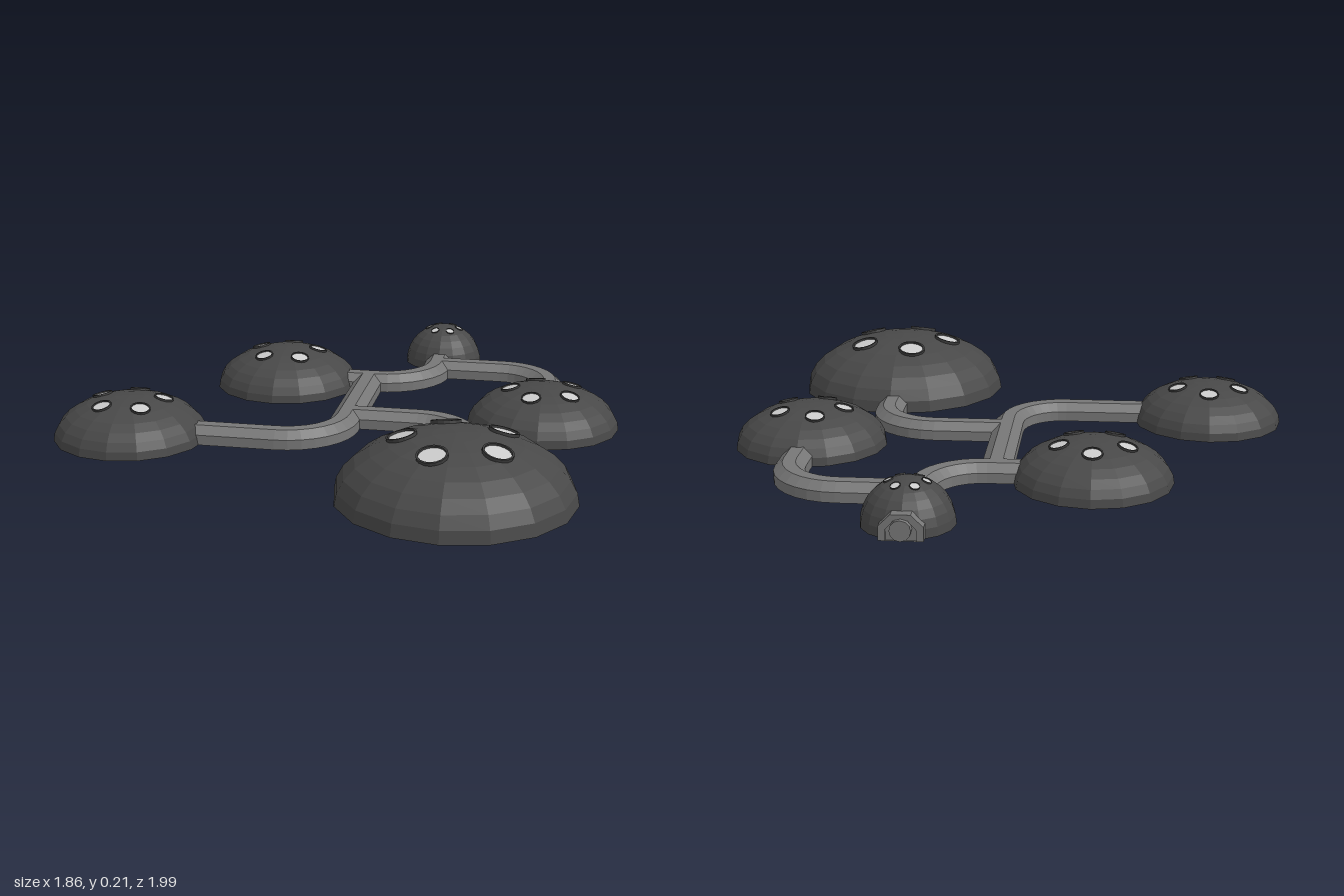
import * as THREE from 'three';

const mat = (color, side = THREE.FrontSide) =>
  new THREE.MeshStandardMaterial({ color, side, flatShading: true });

const domeMat = mat(0x484848);
const rimMat = mat(0x3c3c3c, THREE.DoubleSide);
const pipeMat = mat(0x777777, THREE.DoubleSide);
const glassMat = mat(0xcccccc);

function add(parent, name, geometry, material) {
  const mesh = new THREE.Mesh(geometry, material);
  mesh.name = name;
  parent.add(mesh);
  return mesh;
}

// Flattened dome with a floor and a ring of round skylights
function makeDome({ name, x, z, r, h, count, start, ring, pane }) {
  const dome = new THREE.Group();
  dome.name = name;
  dome.position.set(x, 0, z);

  const shell = new THREE.SphereGeometry(1, 16, 8, 0, Math.PI * 2, 0, Math.PI / 2);
  shell.scale(r, h, r);
  add(dome, 'domeShell', shell, domeMat);
  add(dome, 'domeFloor', new THREE.CircleGeometry(r, 16).rotateX(Math.PI / 2), domeMat);

  const y = h * Math.sqrt(1 - (ring / r) ** 2);
  const up = new THREE.Vector3(0, 1, 0);
  for (let i = 0; i < count; i++) {
    const a = start + (i / count) * Math.PI * 2;
    const c = Math.cos(a), s = Math.sin(a);
    const skylight = new THREE.Group();
    skylight.name = 'skylight';
    skylight.position.set(ring * c, y, ring * s);
    const normal = new THREE.Vector3(ring * c / r ** 2, y / h ** 2, ring * s / r ** 2).normalize();
    skylight.quaternion.setFromUnitVectors(up, normal);

    const o = pane * 1.15, t = pane * 0.16;
    const rim = [[o, -t * 2], [o, t], [pane, t], [pane, -t * 2]].map(p => new THREE.Vector2(...p));
    add(skylight, 'skylightRim', new THREE.LatheGeometry(rim, 16), rimMat);
    add(skylight, 'skylightPane', new THREE.CircleGeometry(pane, 16).rotateX(-Math.PI / 2), glassMat);
    dome.add(skylight);
  }
  return dome;
}

// Corridor cross-section: half an octagon, open at the ground
const section = [[-0.05, 0], [-0.05, 0.034], [-0.021, 0.06], [0.021, 0.06], [0.05, 0.034], [0.05, 0]];

// Path on the ground: straight, quarter bend from p1 to p2 around corner, straight
function bentPath(p0, p1, corner, p2, p3, steps = 8) {
  const center = [p1[0] + p2[0] - corner[0], p1[1] + p2[1] - corner[1]];
  const pts = [p0];
  for (let i = 0; i <= steps; i++) {
    const a = (i / steps) * Math.PI / 2;
    pts.push([0, 1].map(k =>
      center[k] + (p1[k] - center[k]) * Math.cos(a) + (p2[k] - center[k]) * Math.sin(a)));
  }
  pts.push(p3);
  return pts;
}

function sweepGeometry(path) {
  const pos = [], idx = [], n = section.length;
  path.forEach(([x, z], i) => {
    const a = path[Math.max(i - 1, 0)], b = path[Math.min(i + 1, path.length - 1)];
    // At a bend's ends the adjoining straight is much longer, so average unit directions
    const d1 = new THREE.Vector2(x - a[0], z - a[1]).normalize();
    const d2 = new THREE.Vector2(b[0] - x, b[1] - z).normalize();
    const d = d1.add(d2).normalize();
    for (const [u, v] of section) pos.push(x - d.y * u, v, z + d.x * u);
  });
  for (let i = 0; i < path.length - 1; i++) {
    for (let j = 0; j < n - 1; j++) {
      const a = i * n + j, b = a + n;
      idx.push(a, b, a + 1, b, b + 1, a + 1);
    }
  }
  const g = new THREE.BufferGeometry();
  g.setAttribute('position', new THREE.Float32BufferAttribute(pos, 3));
  g.setIndex(idx);
  g.computeVertexNormals();
  return g;
}

// Arched outline standing on the ground
function arch(w, h, Type = THREE.Shape) {
  const s = new Type();
  s.moveTo(-w, 0);
  s.lineTo(w, 0);
  s.lineTo(w, h * 0.55);
  s.lineTo(w * 0.45, h);
  s.lineTo(-w * 0.45, h);
  s.lineTo(-w, h * 0.55);
  s.closePath();
  return s;
}

export function createModel() {
  const model = new THREE.Group();
  model.name = 'domeHabitat';

  // Domes
  const medium = { r: 0.257, h: 0.143, count: 5, ring: 0.113, pane: 0.029 };
  const domes = [
    { name: 'mainDome', x: 0.46, z: 0.622, r: 0.372, h: 0.207, count: 5, start: Math.PI, ring: 0.165, pane: 0.042 },
    { ...medium, name: 'rightDome', x: -0.678, z: 0.26, start: -Math.PI / 2 },
    { ...medium, name: 'backRightDome', x: -0.295, z: -0.425, start: -Math.PI / 2 },
    { ...medium, name: 'leftDome', x: 0.67, z: -0.112, start: Math.PI },
    { name: 'entranceDome', x: 0.235, z: -0.835, r: 0.144, h: 0.144, count: 6, start: 0, ring: 0.057, pane: 0.014 },
  ];
  for (const d of domes) model.add(makeDome(d));

  // Corridors
  const corridors = {
    trunkCorridor: bentPath([0.013, -0.41], [0.013, 0.07], [0.013, 0.26], [-0.177, 0.26], [-0.45, 0.26]),
    mainCorridor: bentPath([0.013, 0], [0.26, 0], [0.45, 0], [0.45, 0.19], [0.45, 0.29]),
    entranceCorridor: bentPath([-0.08, -0.425], [0.04, -0.425], [0.235, -0.425], [0.235, -0.62], [0.235, -0.73]),
    leftCorridor: bentPath([0.235, -0.64], [0.48, -0.64], [0.67, -0.64], [0.67, -0.45], [0.67, -0.33]),
  };
  for (const [name, path] of Object.entries(corridors)) {
    add(model, name, sweepGeometry(path), pipeMat);
  }

  // Airlock at the back of the entrance dome
  const frame = arch(0.066, 0.08);
  frame.holes.push(arch(0.045, 0.062, THREE.Path));
  const airlock = new THREE.Group();
  airlock.name = 'airlock';
  airlock.position.set(0.235, 0, -0.985);
  add(airlock, 'airlockFrame', new THREE.ExtrudeGeometry(frame, { depth: 0.05, bevelEnabled: false }), pipeMat);
  add(airlock, 'airlockDoor', new THREE.ExtrudeGeometry(arch(0.046, 0.063), { depth: 0.03, bevelEnabled: false }), pipeMat)
    .position.z = 0.008;
  const hatch = add(airlock, 'airlockHatch', new THREE.CylinderGeometry(0.032, 0.032, 0.03, 12), pipeMat);
  hatch.rotation.x = Math.PI / 2;
  hatch.position.set(0, 0.036, 0);
  model.add(airlock);

  return model;
}
